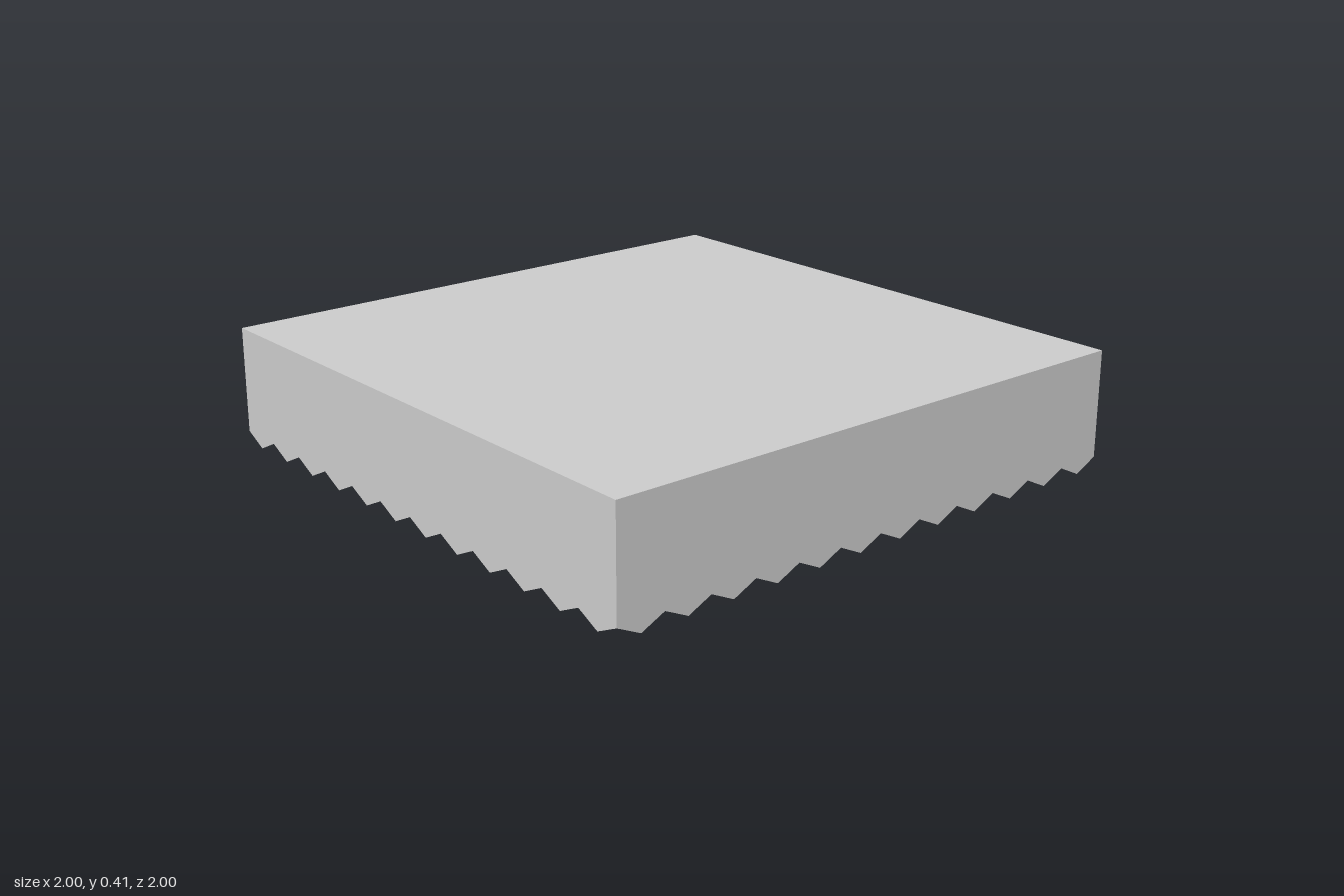
import * as THREE from 'three';

const HALF = 1, HEIGHT = 0.405, TOOTH = 0.04, TEETH = 12;

// One hanging side with a zigzag hem
function sideShape() {
  const shape = new THREE.Shape();
  const pitch = (2 * HALF) / TEETH;
  shape.moveTo(-HALF, HEIGHT);
  shape.lineTo(-HALF, TOOTH);
  for (let i = 0; i < TEETH; i++) {
    const x = -HALF + i * pitch;
    shape.lineTo(x + pitch / 2, 0);
    shape.lineTo(x + pitch, TOOTH);
  }
  shape.lineTo(HALF, HEIGHT);
  return shape;
}

export function createModel() {
  const group = new THREE.Group();
  group.name = 'clothCover';
  const material = new THREE.MeshStandardMaterial({ color: 0xcccccc, side: THREE.DoubleSide });

  // Flat square top
  const top = new THREE.Mesh(new THREE.PlaneGeometry(2 * HALF, 2 * HALF), material);
  top.name = 'top';
  top.rotation.x = -Math.PI / 2;
  top.position.y = HEIGHT;
  group.add(top);

  // Four thin sides, open underneath
  const sideGeometry = new THREE.ShapeGeometry(sideShape()).translate(0, 0, HALF);
  ['frontSide', 'leftSide', 'backSide', 'rightSide'].forEach((name, i) => {
    const side = new THREE.Mesh(sideGeometry, material);
    side.name = name;
    side.rotation.y = (i * Math.PI) / 2;
    group.add(side);
  });

  return group;
}
